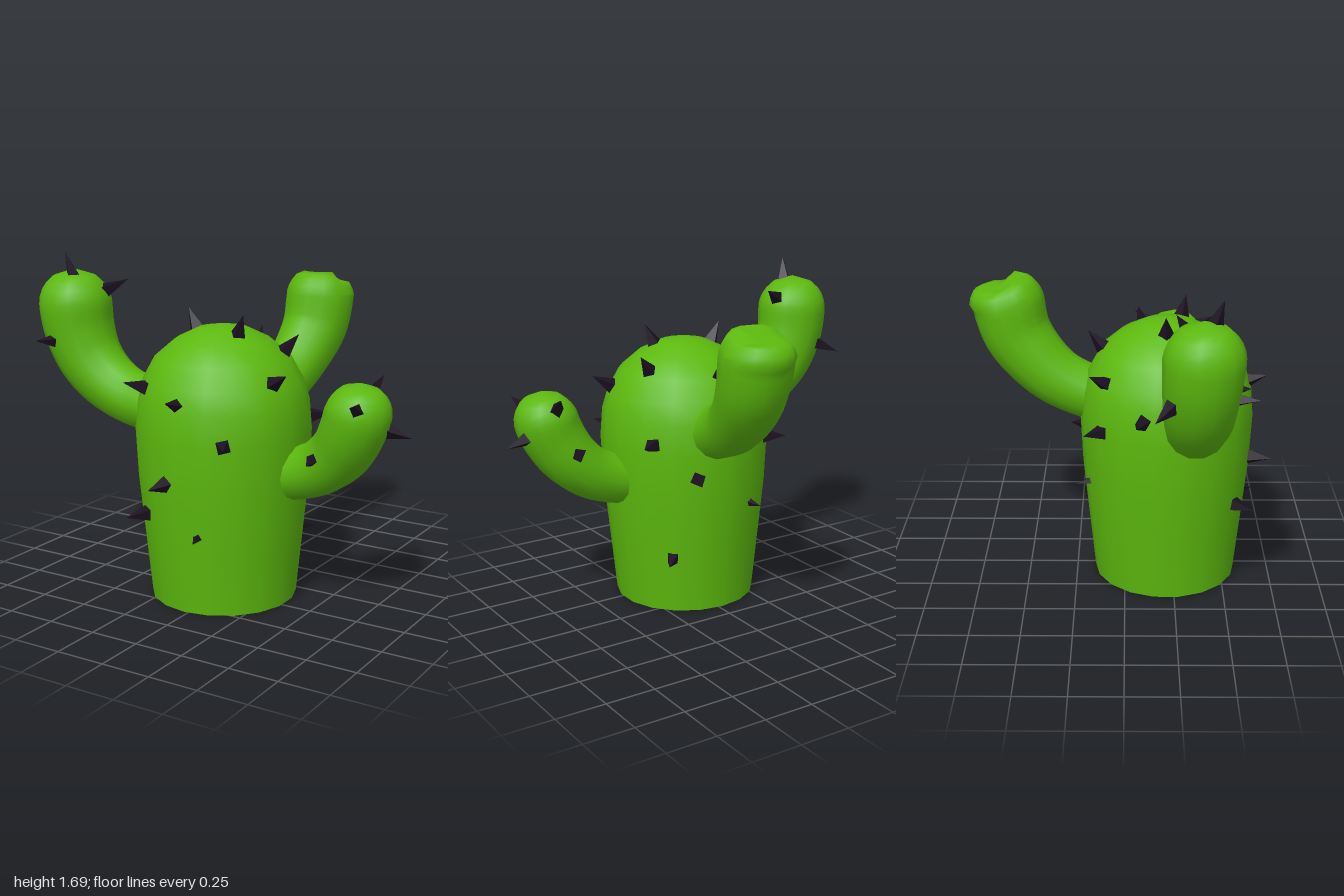
import * as THREE from 'three';
import { mergeVertices } from 'three/addons/utils/BufferGeometryUtils.js';

const V = (x, y, z) => new THREE.Vector3(x, y, z);
const green = new THREE.MeshStandardMaterial({ color: 0x5cb80e });
const dark = new THREE.MeshStandardMaterial({ color: 0x1c1022, flatShading: true });
const CENTRE = V(-0.02, 0, 0.21);

// Trunk outline as [radius, height]
const PROFILE = [
  [0.365, 0], [0.395, 0.3], [0.425, 0.6], [0.437, 0.85], [0.425, 1.0], [0.395, 1.1],
  [0.335, 1.21], [0.235, 1.295], [0.12, 1.35], [0, 1.37],
];

// Smoothly shaded geometry without a seam
function weld(geometry) {
  geometry.deleteAttribute('uv');
  geometry.deleteAttribute('normal');
  const welded = mergeVertices(geometry, 1e-4);
  welded.computeVertexNormals();
  return welded;
}

function addMesh(parent, name, geometry, material) {
  const mesh = new THREE.Mesh(geometry, material);
  mesh.name = name;
  parent.add(mesh);
  return mesh;
}

// Tapered tube along a curve, closed by a round tip
function armGeometry(points, r0, r1) {
  const curve = new THREE.CatmullRomCurve3(points);
  const rings = 28, sides = 14, length = curve.getLength();
  const geometry = new THREE.TubeGeometry(curve, rings, 1, sides);
  const pos = geometry.attributes.position, p = V(0, 0, 0);
  for (let i = 0; i <= rings; i++) {
    const u = i / rings, c = curve.getPointAt(u);
    let r = THREE.MathUtils.lerp(r0, r1, THREE.MathUtils.smoothstep(u, 0.1, 0.85));
    const left = (1 - u) * length;
    if (left < r) r *= Math.sqrt(Math.max(0, 1 - (1 - left / r) ** 2));
    for (let j = 0; j <= sides; j++) {
      const k = i * (sides + 1) + j;
      p.fromBufferAttribute(pos, k).sub(c).multiplyScalar(r).add(c);
      pos.setXYZ(k, p.x, p.y, p.z);
    }
  }
  return geometry;
}

// Four-sided thorn from a base point to its tip
function addThorn(parent, base, tip, radius = 0.05) {
  const dir = tip.clone().sub(base).normalize();
  const start = base.clone().addScaledVector(dir, -0.03);
  const length = start.distanceTo(tip);
  const cone = new THREE.ConeGeometry(radius, length, 4).translate(0, length / 2, 0);
  const thorn = addMesh(parent, 'thorn', cone, dark);
  thorn.position.copy(start);
  thorn.quaternion.setFromUnitVectors(V(0, 1, 0), dir);
}

// Thorn standing on the trunk at an angle (degrees from the front) and height
function addTrunkThorn(parent, degrees, y, size = 1) {
  const i = Math.max(1, PROFILE.findIndex((q) => q[1] >= y));
  const [ra, ya] = PROFILE[i - 1], [rb, yb] = PROFILE[i];
  const r = THREE.MathUtils.mapLinear(y, ya, yb, ra, rb);
  const a = THREE.MathUtils.degToRad(degrees);
  const around = V(Math.sin(a), 0, Math.cos(a));
  const base = CENTRE.clone().addScaledVector(around, r).setY(y);
  const normal = around.clone().multiplyScalar(yb - ya).setY(ra - rb).normalize();
  addThorn(parent, base, base.clone().addScaledVector(normal, 0.11 * size), 0.05 * size);
}

export function createModel() {
  const model = new THREE.Group();
  model.name = 'cactus';

  // Trunk with a flat underside
  const outline = PROFILE.map(([r, y]) => new THREE.Vector2(r, y));
  const trunk = addMesh(model, 'trunk', weld(new THREE.LatheGeometry(outline, 18)), green);
  trunk.position.copy(CENTRE);
  const underside = addMesh(model, 'underside', new THREE.CircleGeometry(0.365, 18), green);
  underside.rotation.x = Math.PI / 2;
  underside.position.copy(CENTRE);

  // Arms
  const rightArm = armGeometry([
    V(-0.34, 0.95, 0.33), V(-0.48, 0.97, 0.33), V(-0.63, 1.04, 0.33), V(-0.74, 1.15, 0.335),
    V(-0.8, 1.29, 0.34), V(-0.818, 1.43, 0.345), V(-0.82, 1.6, 0.345),
  ], 0.14, 0.185);
  addMesh(model, 'rightArm', weld(rightArm), green);

  const leftArm = armGeometry([
    V(0.3, 0.66, 0.215), V(0.42, 0.685, 0.215), V(0.54, 0.735, 0.22), V(0.64, 0.82, 0.235),
    V(0.71, 0.93, 0.26), V(0.745, 1.02, 0.27), V(0.765, 1.17, 0.275),
  ], 0.13, 0.16);
  addMesh(model, 'leftArm', weld(leftArm), green);

  // Back arm, its tip dented behind the crown
  const backArm = armGeometry([
    V(0.03, 0.94, -0.1), V(0.03, 0.97, -0.21), V(0.04, 1.04, -0.35), V(0.06, 1.14, -0.46),
    V(0.08, 1.26, -0.545), V(0.087, 1.38, -0.58), V(0.09, 1.56, -0.615),
  ], 0.14, 0.18);
  const pos = backArm.attributes.position;
  for (let i = 0; i < pos.count; i++) {
    const y = pos.getY(i), z = pos.getZ(i);
    if (y > 1.4 && z < -0.57) pos.setXYZ(i, pos.getX(i), Math.min(y, 1.49), z - 0.02);
    else if (y > 1.4) pos.setY(i, Math.min(y + 0.02, 1.55));
  }
  addMesh(model, 'backArm', weld(backArm), green);

  // Thorns on the trunk: angle, height, size
  const trunkThorns = new THREE.Group();
  trunkThorns.name = 'trunkThorns';
  model.add(trunkThorns);
  [
    [-39, 1.08], [0, 1.04, 0.85], [32, 0.86], [-9, 0.65], [-34, 0.46], [14, 0.4, 0.6],
    [-94, 1.33], [61, 1.335], [181, 1.22], [113, 1.24], [-142, 1.11], [-107, 0.97],
    [-139, 0.87], [-159, 0.55, 0.6], [157, 0.73], [139, 0.3, 0.9], [127, 0.9], [70, 1.13],
  ].forEach((t) => addTrunkThorn(trunkThorns, ...t));

  // Thorns on the arms: base, tip
  const armThorns = new THREE.Group();
  armThorns.name = 'armThorns';
  model.add(armThorns);
  [
    [[-0.795, 1.58, 0.39], [-0.81, 1.69, 0.425]],
    [[-0.66, 1.5, 0.28], [-0.57, 1.55, 0.23]],
    [[-0.84, 1.25, 0.49], [-0.88, 1.26, 0.59]],
    [[-0.9, 1.23, 0.2], [-0.98, 1.19, 0.13]],
    [[0.89, 0.95, 0.23], [0.99, 0.925, 0.21]],
    [[0.8, 1.07, 0.4], [0.83, 1.11, 0.49]],
    [[0.56, 0.8, 0.35], [0.57, 0.79, 0.44]],
    [[0.66, 0.87, 0.1], [0.71, 0.87, -0.02]],
    [[0.75, 1.1, 0.14], [0.77, 1.17, 0.05]],
  ].forEach(([base, tip]) => addThorn(armThorns, V(...base), V(...tip), 0.045));

  return model;
}
